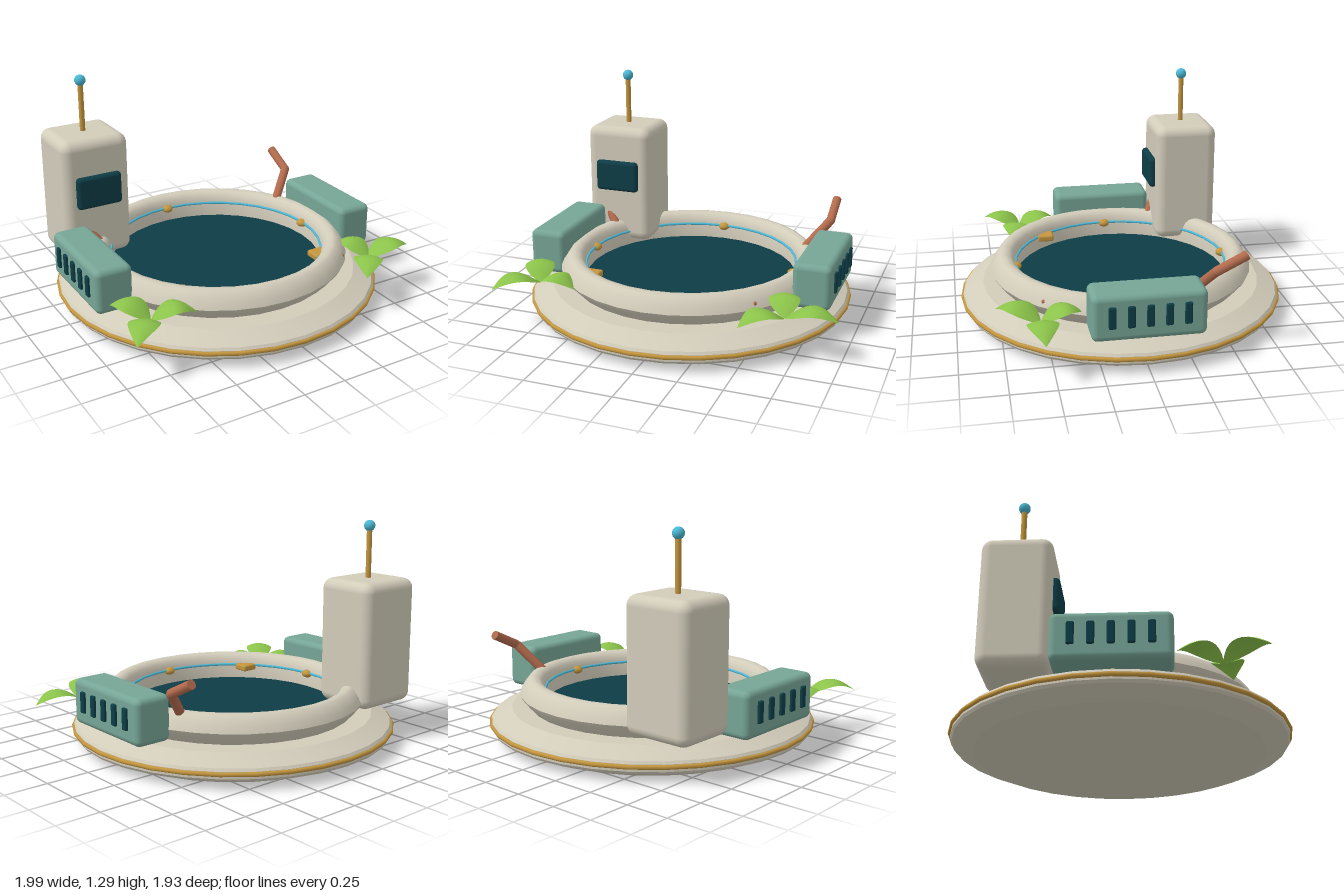
import * as THREE from 'three';
import { toCreasedNormals } from 'three/addons/utils/BufferGeometryUtils.js';
import { RoundedBoxGeometry } from 'three/addons/geometries/RoundedBoxGeometry.js';
import { ParametricGeometry } from 'three/addons/geometries/ParametricGeometry.js';

const CX = -0.035; // axis of the round platform

function material(name, color) {
  const m = new THREE.MeshStandardMaterial({ color });
  m.name = name;
  return m;
}

export function createModel() {
  const cream = material('cream', 0xd2ccba);
  const gold = material('gold', 0xc4963e);
  const dark = material('dark teal', 0x0e3d46);
  const sage = material('sage', 0x76a596);
  const cyan = material('cyan', 0x4cb9d6);
  const copper = material('copper', 0xb36b4d);
  const green = material('leaf green', 0x8bc34a);
  green.side = THREE.DoubleSide;

  const model = new THREE.Group();
  model.name = 'gardenPool';

  function add(name, geometry, mat, x = 0, y = 0, z = 0, parent = model) {
    const mesh = new THREE.Mesh(geometry, mat);
    mesh.name = name;
    mesh.position.set(x, y, z);
    parent.add(mesh);
    return mesh;
  }
  const lathe = (pts, crease) => toCreasedNormals(
    new THREE.LatheGeometry(pts.map(p => new THREE.Vector2(...p)), 32), crease);
  function hoop(name, radius, tube, mat, y) {
    add(name, new THREE.TorusGeometry(radius, tube, 8, 32), mat, CX, y, 0).rotation.x = Math.PI / 2;
  }

  // Round platform with gold trim
  add('platform', lathe([[0, 0], [0.82, 0], [0.94, 0.05], [0.95, 0.065], [0.95, 0.105],
    [0.94, 0.12], [0.83, 0.17], [0, 0.17]], 0.37), cream, CX);
  hoop('platformTrim', 0.95, 0.013, gold, 0.09);

  // Pool rim, water and glowing line
  add('poolRim', lathe([[0.71, 0.165], [0.765, 0.225], [0.78, 0.25], [0.765, 0.285], [0.725, 0.335],
    [0.70, 0.342], [0.67, 0.335], [0.65, 0.315], [0.636, 0.28], [0.632, 0.165]], 0.75), cream, CX);
  add('water', new THREE.CylinderGeometry(0.635, 0.635, 0.015, 32), dark, CX, 0.175, 0);
  hoop('glowLine', 0.632, 0.008, cyan, 0.27);

  // Gold fittings around the inner wall
  for (let i = 0; i < 4; i++) {
    const a = i * Math.PI / 2;
    add('rimStud', new THREE.SphereGeometry(0.035, 12, 8), gold,
      CX + 0.632 * Math.cos(a), 0.265, 0.632 * Math.sin(a)).scale.y = 0.7;
  }
  for (const s of [-1, 1]) {
    add('rimStep', new RoundedBoxGeometry(0.1, 0.04, 0.1, 2, 0.012), gold, CX + s * 0.465, 0.26, 0.41);
  }
  add('rimRivet', new THREE.SphereGeometry(0.015, 8, 6), copper, 0.515, 0.275, 0.52);

  // Tower with screen and antenna
  const tower = new THREE.Group();
  tower.name = 'tower';
  model.add(tower);
  add('towerBody', new RoundedBoxGeometry(0.42, 0.745, 0.385, 4, 0.06), cream, -0.65, 0.582, -0.505, tower);
  add('screen', new RoundedBoxGeometry(0.28, 0.195, 0.05, 3, 0.022), dark, -0.65, 0.643, -0.303, tower);
  add('antennaRod', new THREE.CylinderGeometry(0.016, 0.016, 0.32, 12), gold, -0.65, 1.09, -0.505, tower);
  add('antennaTip', new THREE.SphereGeometry(0.033, 16, 12), cyan, -0.65, 1.26, -0.505, tower);

  // Bent pipe: straight runs joined by a ball at the elbow
  function pipe(points, radius) {
    const group = new THREE.Group();
    group.name = 'pipe';
    model.add(group);
    for (let i = 0; i < points.length - 1; i++) {
      const dir = points[i + 1].clone().sub(points[i]);
      const mid = points[i].clone().addScaledVector(dir, 0.5);
      const run = add('pipeRun', new THREE.CylinderGeometry(radius, radius, dir.length(), 12), copper,
        mid.x, mid.y, mid.z, group);
      run.quaternion.setFromUnitVectors(new THREE.Vector3(0, 1, 0), dir.normalize());
      if (i > 0) add('pipeElbow', new THREE.SphereGeometry(radius, 12, 8), copper, ...points[i], group);
    }
  }

  // Vented cabinets and pipes on both sides
  for (const s of [-1, 1]) {
    const cabinet = new THREE.Group();
    cabinet.name = s > 0 ? 'leftCabinet' : 'rightCabinet';
    model.add(cabinet);
    add('cabinetBody', new RoundedBoxGeometry(0.22, 0.262, 0.62, 4, 0.035), sage, CX + s * 0.81, 0.316, 0, cabinet);
    for (let i = -2; i <= 2; i++) {
      add('vent', new RoundedBoxGeometry(0.03, 0.122, 0.04, 2, 0.008), dark,
        CX + s * 0.92, 0.326, i * 0.101, cabinet);
    }
    pipe([[0.605, 0.29, -0.28], [0.76, 0.475, -0.39], [0.76, 0.56, -0.56]]
      .map(([x, y, z]) => new THREE.Vector3(CX + s * x, y, z)), 0.027);
  }

  // Arched leaf running along +x, pointed at both ends
  const leafGeometry = length => new ParametricGeometry((u, v, p) => {
    const across = v * 2 - 1;
    const width = 0.085 * Math.sin(Math.PI * Math.pow(u, 0.85));
    const rise = 0.075 * Math.sin(Math.PI * Math.pow(u, 1.05)) + 0.015 * u;
    p.set(u * length, rise - 0.02 * across * across * Math.sin(Math.PI * u), -across * width);
  }, 14, 6);

  // Two plants with three leaves each, given as tip offsets in x and z
  const plants = [
    { name: 'leftPlant', x: 0.69, tips: [[0.3, 0], [-0.06, -0.245], [-0.19, 0.23]] },
    { name: 'rightPlant', x: -0.76, tips: [[0.245, 0.065], [-0.13, -0.235], [-0.19, 0.23]] },
  ];
  for (const { name, x, tips } of plants) {
    const plant = new THREE.Group();
    plant.name = name;
    plant.position.set(x, 0.232, 0.555);
    model.add(plant);
    for (const [dx, dz] of tips) {
      add('leaf', leafGeometry(Math.hypot(dx, dz)), green, 0, 0, 0, plant).rotation.y = Math.atan2(-dz, dx);
    }
  }

  return model;
}
